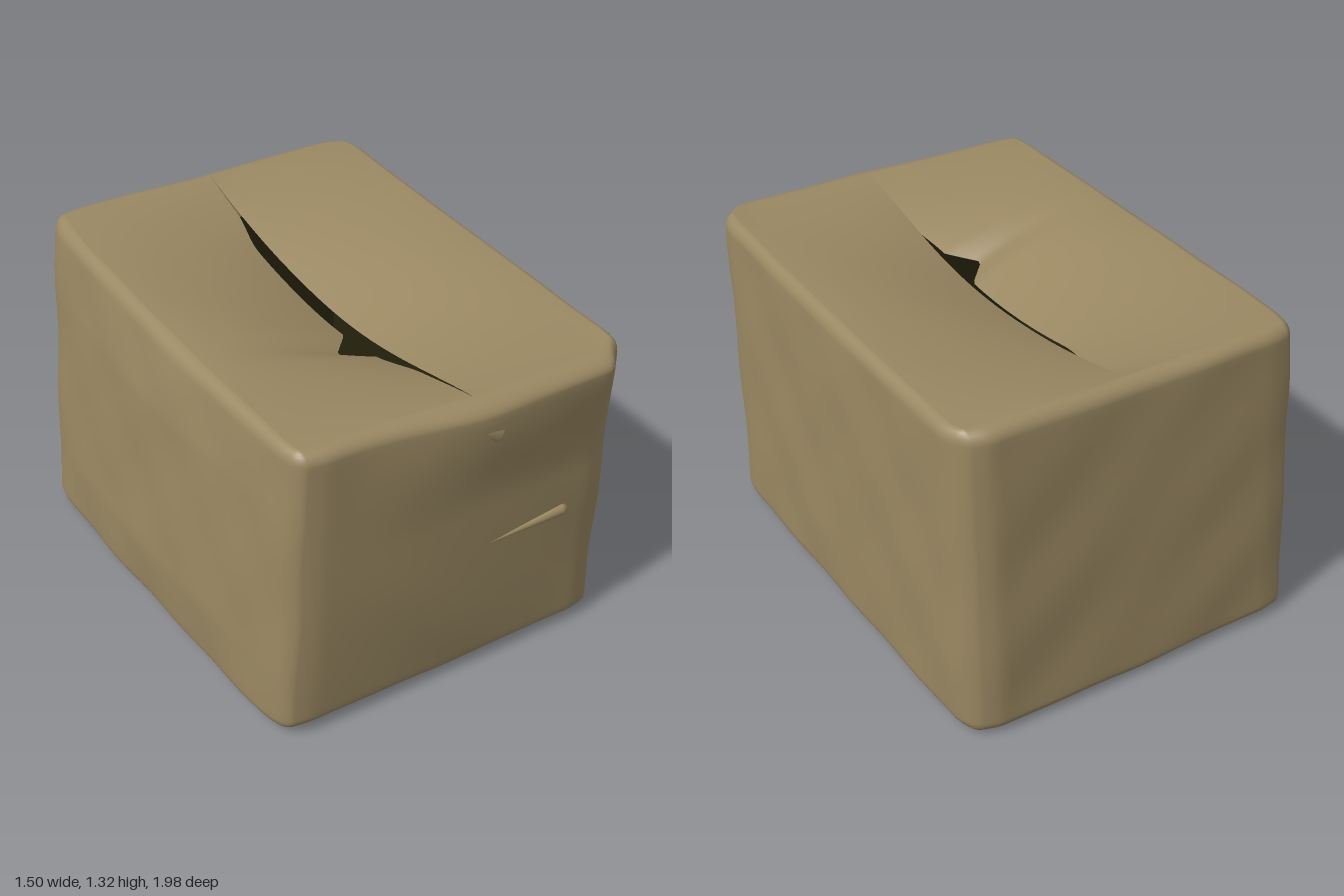
import * as THREE from 'three';

const R = 0.06; // edge rounding in box coordinates
const SEGMENTS = 44; // divisions along each straight edge
const lerp = THREE.MathUtils.lerp;
const smooth = THREE.MathUtils.smoothstep;

// Corners of the battered box: left-back, right-back, left-front, right-front
const BOTTOM = [[-0.7, 0.02, -0.995], [0.725, 0.01, -0.975], [-0.71, 0.03, 0.835], [0.715, 0.025, 0.855]];
const TOP = [[-0.62, 1.32, -0.995], [0.755, 1.315, -0.955], [-0.68, 1.27, 0.9], [0.69, 1.28, 0.925]];

// Maps box coordinates (x, z in -1..1, y in 0..1) onto the dented, leaning box
function place(hx, hy, hz) {
  const u = (hx + 1) / 2, w = (hz + 1) / 2;
  const mix = (c, k) => lerp(lerp(c[0][k], c[1][k], u), lerp(c[2][k], c[3][k], u), w);
  const p = new THREE.Vector3(...[0, 1, 2].map((k) => lerp(mix(BOTTOM, k), mix(TOP, k), hy)));
  const mid = 4 * hy * (1 - hy);
  // swollen side walls, hollow top, upright edges worn down
  p.x += hx * (hx < 0 ? 0.052 : 0.012) * Math.min(1, mid + 0.3) * (1 - hz * hz);
  p.y -= 0.01 * hy * (1 - hz * hz);
  const worn = smooth(Math.abs(hx), 0.8, 1) * smooth(Math.abs(hz), 0.85, 1) * (hx > 0 && hz < 0 ? 0.028 : 0.016);
  p.x -= Math.sign(hx) * worn;
  p.z -= Math.sign(hz) * worn;
  if (hz > 0) {
    // bulging front, its panel pushed forward along the upper edge
    const push = hz ** 8 * smooth(hy, 0.6, 1) * smooth(hx, -0.7, 0.15) * (1 - smooth(hx, 0.82, 0.96));
    p.z += hz ** 4 * 0.03 * mid * (1 - hx * hx) + 0.062 * push;
    p.y -= 0.012 * push;
  }
  // lower edge hanging down at the middle seam
  p.y -= 0.012 * (1 - hy) ** 8 * Math.exp(-((p.x / 0.15) ** 2));
  // soft wrinkles
  const n = Math.sin(7 * p.x + 5 * p.y + 1) * Math.cos(6 * p.z - 3 * p.y);
  const m = Math.sin(13 * p.z + 4 * p.x) * Math.cos(11 * p.y + 9 * p.x);
  p.x += 0.004 * n + 0.003 * m;
  p.z += 0.003 * m - 0.002 * n;
  p.y += 0.003 * n;
  return p;
}

// Smooth surface from rows of points
function surface(rows, closed) {
  const count = rows[0].length, pos = [], index = [];
  for (const row of rows) for (const p of row) pos.push(p.x, p.y, p.z);
  for (let i = 0; i < rows.length - 1; i++) {
    for (let j = 0; j < (closed ? count : count - 1); j++) {
      const k = (j + 1) % count, a = i * count, b = a + count;
      index.push(a + j, b + j, a + k, b + j, b + k, a + k);
    }
  }
  const g = new THREE.BufferGeometry();
  g.setAttribute('position', new THREE.Float32BufferAttribute(pos, 3));
  g.setIndex(index);
  g.computeVertexNormals();
  return g;
}

// Rounded rectangular outline at one height
function ring(hy, inset) {
  const pts = [], rc = R - inset, K = 5;
  const signs = [[1, 1], [-1, 1], [-1, -1], [1, -1]];
  const at = (c, k) => {
    const a = (c + k / K) * Math.PI / 2, s = signs[c % 4];
    return [s[0] * (1 - R) + rc * Math.cos(a), s[1] * (1 - R) + rc * Math.sin(a)];
  };
  for (let c = 0; c < 4; c++) {
    for (let k = 0; k <= K; k++) pts.push(at(c, k));
    const a = at(c, K), b = at(c + 1, 0);
    for (let s = 1; s < SEGMENTS; s++) {
      pts.push([lerp(a[0], b[0], s / SEGMENTS), lerp(a[1], b[1], s / SEGMENTS)]);
    }
  }
  return pts.map(([x, z]) => place(x, hy, z));
}

// Four walls with rounded upper and lower edges
function wallGeometry() {
  const lower = [], upper = [], middle = [], A = 6, H = 40, ry = 0.04;
  for (let i = 0; i <= A; i++) {
    const a = i / A * Math.PI / 2, inset = R * (1 - Math.cos(a)), y = ry * (1 - Math.sin(a));
    lower.unshift(ring(y, inset));
    upper.push(ring(1 - y, inset));
  }
  for (let i = 1; i < H; i++) middle.push(ring(lerp(ry, 1 - ry, i / H), 0));
  return surface([...lower, ...middle, ...upper], true);
}

// Flap from a side wall (side = -1 or 1) to its free edge; drop(t, u) sinks it
function flapGeometry(side, hy, edgeX, drop) {
  const rows = [], U = 28, edge = 1 - R * 0.92;
  for (let i = 0; i <= U; i++) {
    const row = [], u = i / U;
    for (let j = 0; j <= SEGMENTS * 2; j++) {
      const t = lerp(-1, 1, j / (SEGMENTS * 2));
      const hinge = place(side * edge, hy, t * edge).x;
      const p = place(lerp(side * edge, 0.04, u), hy, t * edge);
      p.x = lerp(hinge, edgeX(t), u);
      p.y -= drop(t, u);
      row.push(p);
    }
    rows.push(row);
  }
  // keep the outer face turned away from the box
  if ((side > 0) === (hy > 0.5)) rows.reverse();
  return surface(rows, false);
}

// Tapered fold lying on the front panel, thick end to the right
function foldGeometry(length, thick) {
  const profile = [[0, 0], [0.35, 0.3], [0.75, 0.7], [1, 0.93], [0.8, 0.98], [0, 1]]
    .map(([r, y]) => new THREE.Vector2(r * thick, y * length));
  return new THREE.LatheGeometry(profile, 14).rotateZ(-Math.PI / 2);
}

export function createModel() {
  const group = new THREE.Group();
  const cardboard = new THREE.MeshStandardMaterial({ color: 0x9a8862, side: THREE.DoubleSide });
  cardboard.name = 'cardboard';
  const inside = new THREE.MeshStandardMaterial({ color: 0x25230f, side: THREE.BackSide });
  inside.name = 'dark inside';
  const add = (name, geometry, material = cardboard) => {
    const mesh = new THREE.Mesh(geometry, material);
    mesh.name = name;
    group.add(mesh);
    return mesh;
  };

  add('walls', wallGeometry());

  // Sagging top flaps with a gap and a torn notch between them
  const seam = (t) => 0.053 - 0.025 * t;
  const sag = (t) => Math.max(0, 1 - t * t);
  const gap = (t) => 0.036 * smooth(t, -0.78, -0.5) * (1 - smooth(t, 0.4, 0.7))
    + 0.1 * Math.max(0, 1 - Math.abs(t - 0.31) / 0.12);
  add('topFlapRight', flapGeometry(1, 1, seam, (t, u) => 0.135 * sag(t) * u ** 1.7));
  add('topFlapLeft', flapGeometry(-1, 1, (t) => seam(t) - gap(t), (t, u) => 0.16 * sag(t) * u ** 1.7));

  // Bottom flaps meeting in a rounded groove along the middle
  const groove = (u) => 0.022 * smooth(u, 0.9, 1) ** 2;
  add('bottomFlapRight', flapGeometry(1, 0, () => 0.008, (t, u) => 0.006 * sag(t) * u - groove(u)));
  add('bottomFlapLeft', flapGeometry(-1, 0, () => 0.004, (t, u) => -0.006 * sag(t) * u - groove(u)));

  // Dark interior seen through the gap
  add('interior', new THREE.BoxGeometry(1.24, 1.06, 1.6), inside).position.set(0.01, 0.6, -0.05);

  // Creased folds on the front panel
  const crease = add('frontCrease', foldGeometry(0.4, 0.024));
  crease.position.copy(place(0.11, 0.46, 1)).add(new THREE.Vector3(0, 0, -0.002));
  crease.rotation.z = 0.05;
  const tear = add('frontTear', foldGeometry(0.18, 0.034));
  tear.position.copy(place(-0.08, 0.955, 1)).add(new THREE.Vector3(0, 0, -0.004));
  tear.rotation.set(0, -0.02, -0.5);
  tear.scale.z = 0.5;

  return group;
}
